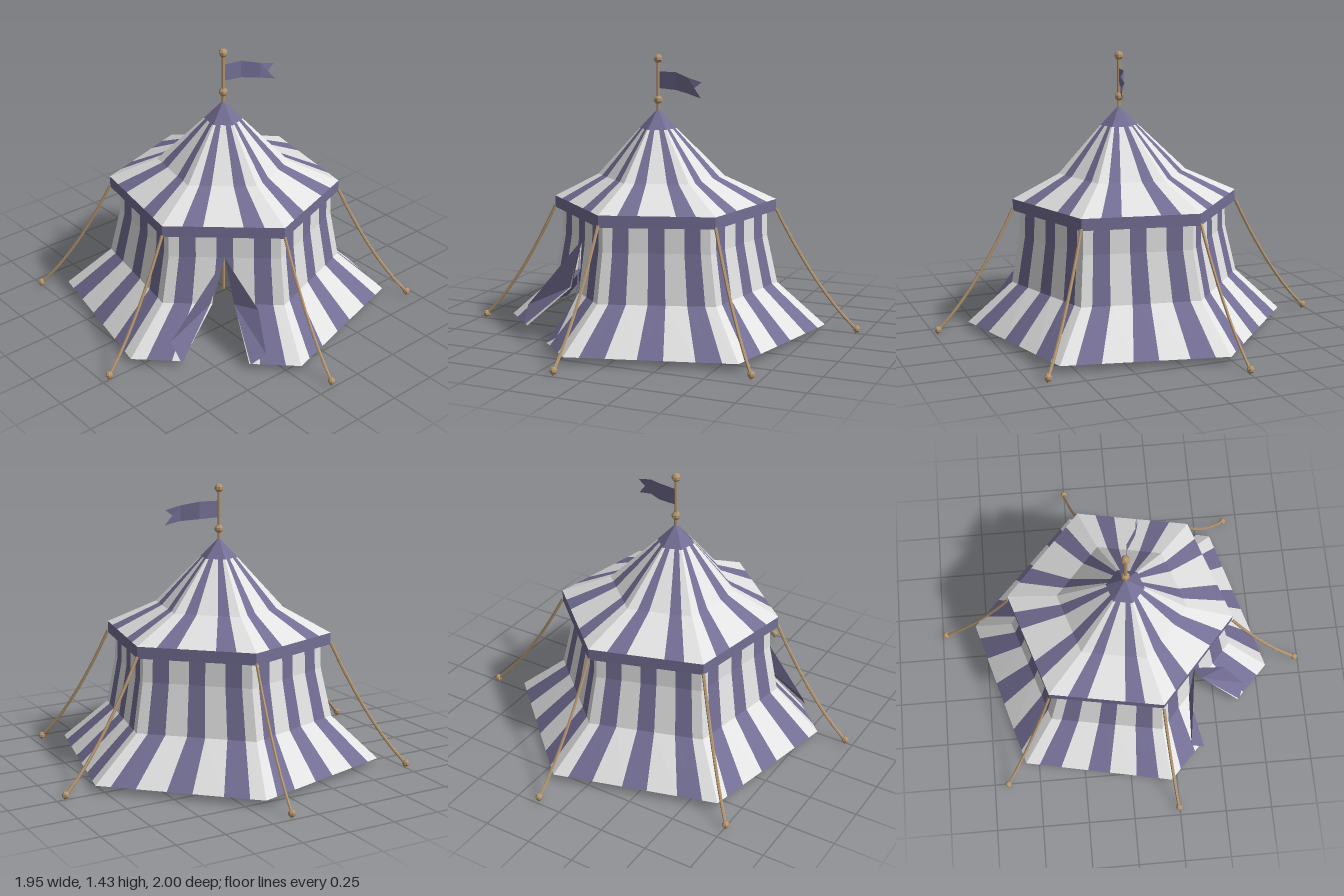
import * as THREE from 'three';

const V = (x, y, z) => new THREE.Vector3(x, y, z);

// hexagon corners (x, z), in order round the tent
const EAVE = [[0.09, -0.58], [0.53, -0.18], [0.42, 0.4], [-0.12, 0.58], [-0.565, 0.18], [-0.46, -0.4]];
const HEM = [[0.17, -0.81], [0.79, -0.23], [0.61, 0.58], [-0.2, 0.81], [-0.81, 0.22], [-0.65, -0.57]];
const STAKES = [[0.135, -0.98], [0.955, -0.25], [0.705, 0.67], [-0.16, 0.98], [-0.96, 0.245], [-0.755, -0.675]];
const DOOR_FACE = 3;

// a hexagonal ring of corners; f is the coloured share of each stripe, gap the half width of the door
function ring(corners, y, scale, cx, cz, f, gap = 0) {
  return { f, gap, pts: corners.map(([x, z]) => V(cx + (x + 0.02) * scale, y, cz + z * scale)) };
}

function trianglesMesh(name, points, material) {
  const g = new THREE.BufferGeometry().setFromPoints(points);
  g.computeVertexNormals();
  const m = new THREE.Mesh(g, material);
  m.name = name;
  return m;
}

// striped cloth stretched over a stack of rings
function stripedCloth(name, rings, perFace, white, purple, door = false) {
  const out = { white: [], purple: [] };
  const at = (r, face, t) => r.pts[face].clone().lerp(r.pts[(face + 1) % 6], t);
  // stripe edges along one face, each coloured stripe split in two for the door
  const edges = (r) => {
    const e = [0];
    for (let k = 0; k < perFace; k++) {
      const c = (k + 0.5) / perFace, h = r.f / (2 * perFace);
      e.push(c - h, c, c + h);
    }
    return [...e, 1];
  };
  for (let i = 0; i < rings.length - 1; i++) {
    const a = rings[i], b = rings[i + 1], ea = edges(a), eb = edges(b);
    for (let face = 0; face < 6; face++) {
      for (let s = 0; s < ea.length - 1; s++) {
        const left = ea[s + 1] <= 0.5 + 1e-6;
        const clip = (t, r) => {
          if (!door || face !== DOOR_FACE) return t;
          return left ? Math.min(t, 0.5 - r.gap) : Math.max(t, 0.5 + r.gap);
        };
        const p = at(a, face, clip(ea[s], a)), q = at(a, face, clip(ea[s + 1], a));
        const u = at(b, face, clip(eb[s], b)), v = at(b, face, clip(eb[s + 1], b));
        const list = s % 3 === 0 ? out.white : out.purple;
        list.push(p, q, u, q, v, u);
      }
    }
  }
  const g = new THREE.Group();
  g.name = name;
  g.add(trianglesMesh(name + 'WhiteStripes', out.white, white));
  g.add(trianglesMesh(name + 'PurpleStripes', out.purple, purple));
  return g;
}

// flat sheet as a fan from its first point
function sheet(name, pts, material) {
  const tri = [];
  for (let i = 1; i < pts.length - 1; i++) tri.push(pts[0], pts[i], pts[i + 1]);
  return trianglesMesh(name, tri, material);
}

export function createModel() {
  const cloth = { side: THREE.DoubleSide, flatShading: true };
  const white = new THREE.MeshStandardMaterial({ name: 'white cloth', color: 0xe2e2e2, ...cloth });
  const purple = new THREE.MeshStandardMaterial({ name: 'purple cloth', color: 0x736e94, ...cloth });
  const wood = new THREE.MeshStandardMaterial({ name: 'wood and rope', color: 0xb59670, flatShading: true });

  const tent = new THREE.Group();
  tent.name = 'tent';
  const add = (name, geometry, material, x = 0, y = 0, z = 0) => {
    const m = new THREE.Mesh(geometry, material);
    m.name = name;
    m.position.set(x, y, z);
    tent.add(m);
    return m;
  };

  // walls flaring out to the hem, with a slit for the door
  tent.add(stripedCloth('wall', [
    ring(EAVE, 0.68, 0.92, -0.02, 0.01, 0.45),
    ring(EAVE, 0.5, 0.93, -0.02, 0.01, 0.45),
    ring(EAVE, 0.25, 1.02, -0.02, 0.0, 0.45, 0.09),
    ring(HEM, 0.035, 1, -0.02, 0, 0.45, 0.195),
  ], 3, white, purple, true));

  // roof with a kink, its narrow stripes running up to a plain peak
  const px = -0.045, pz = 0.025;
  const capRing = ring(EAVE, 1.055, 0.165, px, pz, 0.5);
  tent.add(stripedCloth('roof', [
    ring(EAVE, 0.69, 1, -0.02, 0, 0.34),
    ring(EAVE, 0.81, 0.57, -0.035, 0.01, 0.36),
    capRing,
  ], 2, white, purple));
  const cap = [];
  capRing.pts.forEach((p, i) => cap.push(V(px, 1.155, pz), capRing.pts[(i + 1) % 6], p));
  tent.add(trianglesMesh('roofPeak', cap, purple));

  // valance band round the eave
  const band = [];
  EAVE.forEach(([x, z], i) => {
    const [x2, z2] = EAVE[(i + 1) % 6];
    const a = V(x, 0.69, z), b = V(x2, 0.69, z2), c = V(x, 0.63, z), d = V(x2, 0.63, z2);
    band.push(a, b, c, b, d, c);
  });
  tent.add(trianglesMesh('valance', band, purple));

  // door flaps folded back
  const top = V(-0.325, 0.5, 0.37);
  tent.add(sheet('rightDoorFlap', [V(-0.4, 0.25, 0.345), top, V(-0.65, 0.13, 0.34), V(-0.64, 0.035, 0.415)], purple));
  tent.add(sheet('leftDoorFlap', [V(-0.31, 0.25, 0.425), top, V(-0.26, 0.26, 0.55), V(-0.31, 0.08, 0.67), V(-0.385, 0.035, 0.64)], purple));

  // centre pole and its knobs
  add('centrePole', new THREE.CylinderGeometry(0.009, 0.009, 1.38, 8), wood, px, 0.725, pz);
  for (const y of [1.2, 1.41]) add('poleKnob', new THREE.SphereGeometry(0.023, 7, 5), wood, px, y, pz);

  // swallow-tailed flag, bent in two places
  const upper = [V(px, 1.345, pz), V(0.06, 1.345, 0.04), V(0.145, 1.325, 0.09), V(0.225, 1.305, 0.1)];
  const lower = [V(px, 1.26, pz), V(0.06, 1.255, 0.04), V(0.145, 1.245, 0.09), V(0.225, 1.225, 0.11)];
  const notch = V(0.185, 1.275, 0.1);
  const flag = [];
  for (let i = 0; i < 2; i++) flag.push(upper[i], lower[i], upper[i + 1], upper[i + 1], lower[i], lower[i + 1]);
  flag.push(upper[2], lower[2], notch, upper[2], notch, upper[3], lower[2], lower[3], notch);
  tent.add(trianglesMesh('flag', flag, purple));

  // sagging guy ropes and their stakes
  STAKES.forEach(([x, z], i) => {
    const [ex, ez] = EAVE[i];
    const curve = new THREE.QuadraticBezierCurve3(
      V(ex, 0.64, ez), V((x + ex) / 2, 0.22, (z + ez) / 2), V(x, 0.02, z));
    add('guyRope', new THREE.TubeGeometry(curve, 8, 0.008, 6), wood);
    add('stakeKnob', new THREE.SphereGeometry(0.019, 7, 5), wood, x, 0.024, z);
    add('stake', new THREE.CylinderGeometry(0.01, 0.007, 0.02, 6), wood, x, 0.01, z);
  });

  return tent;
}
